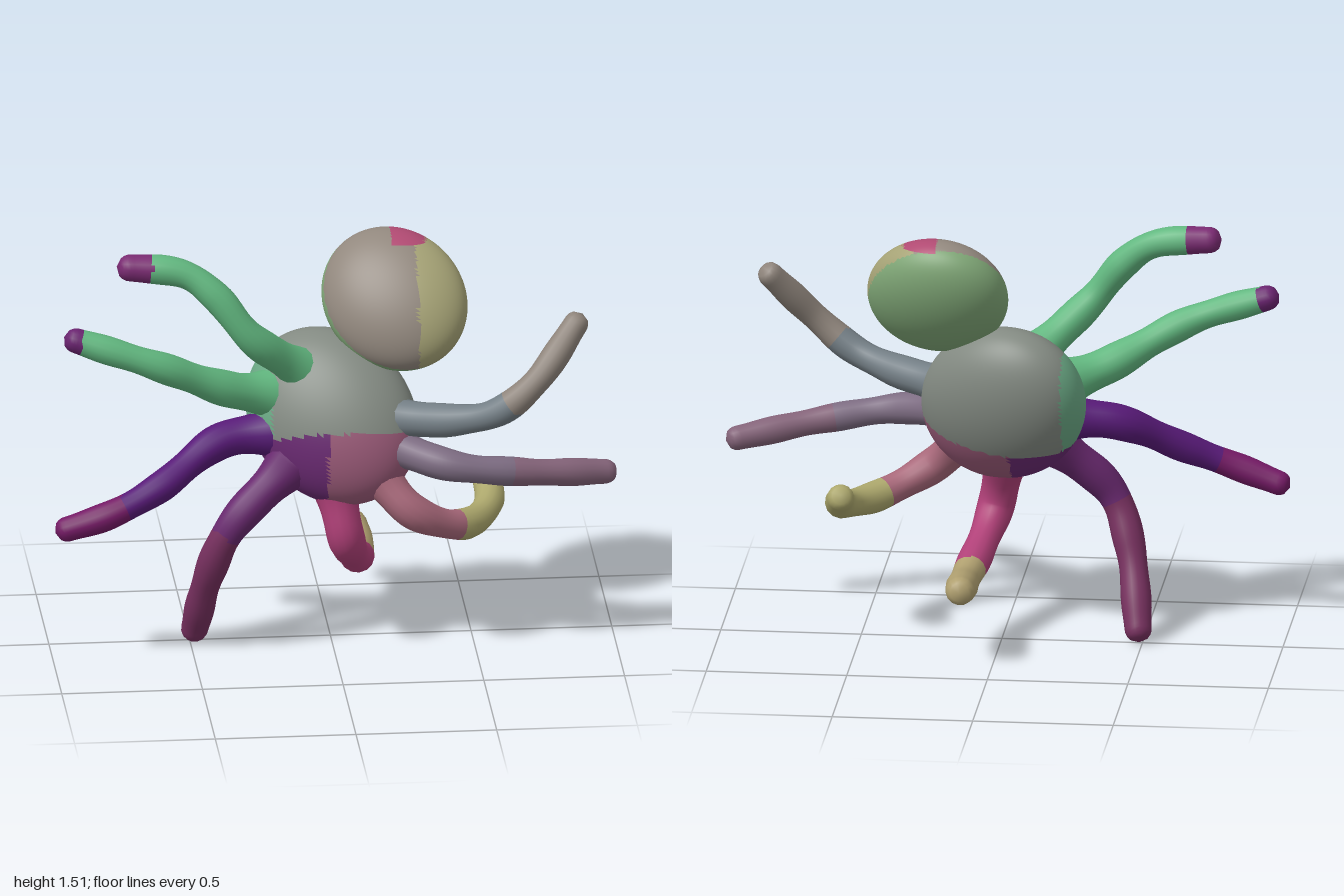
import * as THREE from 'three';
import { mergeVertices } from 'three/addons/utils/BufferGeometryUtils.js';

// Weld a geometry and recompute smooth normals.
function weld(geometry) {
  geometry.deleteAttribute('uv');
  geometry.deleteAttribute('normal');
  const welded = mergeVertices(geometry, 1e-5);
  welded.computeVertexNormals();
  return welded;
}

// Split a geometry into one mesh per colour; pick(centre, fraction) chooses each triangle's colour.
function paint(name, geometry, pick) {
  const group = new THREE.Group();
  group.name = name;
  const index = geometry.index.array;
  const pos = geometry.attributes.position;
  const buckets = new Map();
  const corner = new THREE.Vector3();
  for (let i = 0; i < index.length; i += 3) {
    const centre = new THREE.Vector3();
    for (let k = 0; k < 3; k++) centre.add(corner.fromBufferAttribute(pos, index[i + k]));
    const color = pick(centre.divideScalar(3), i / index.length);
    if (!buckets.has(color)) buckets.set(color, []);
    buckets.get(color).push(index[i], index[i + 1], index[i + 2]);
  }
  for (const [color, faces] of buckets) {
    const part = geometry.clone().setIndex(faces);
    const mesh = new THREE.Mesh(part, new THREE.MeshStandardMaterial({ color }));
    mesh.name = name + 'Patch';
    group.add(mesh);
  }
  return group;
}

// Tilted ellipsoid: squared half extents (xx, yy, zz) and skews (xy, xz, yz).
function ellipsoid(centre, [xx, yy, zz], [xy, xz, yz]) {
  const a = Math.sqrt(xx), b = xy / a, c = xz / a;
  const d = Math.sqrt(yy - b * b), e = (yz - b * c) / d;
  const f = Math.sqrt(zz - c * c - e * e);
  const skew = new THREE.Matrix4().set(
    a, 0, 0, centre[0],
    b, d, 0, centre[1],
    c, e, f, centre[2],
    0, 0, 0, 1);
  return weld(new THREE.SphereGeometry(1, 80, 56).applyMatrix4(skew));
}

// Tapered arm with a flared root, a slightly uneven skin and a rounded tip;
// its colour changes at the given fraction of its length.
function arm(name, [rootRadius, tipRadius], [rootColor, change, tipColor], ...points) {
  const curve = new THREE.CatmullRomCurve3(points.map((q) => new THREE.Vector3(...q)));
  const rows = 72, sides = 14, length = curve.getLength();
  const geometry = new THREE.TubeGeometry(curve, rows, 1, sides);
  const pos = geometry.attributes.position;
  const p = new THREE.Vector3();
  for (let i = 0; i <= rows; i++) {
    const u = i / rows;
    let r = THREE.MathUtils.lerp(rootRadius, tipRadius, u) * (1 + 0.5 * (1 - u) ** 6);
    r *= 1 + 0.05 * Math.sin(u * 23 + length * 9);
    const left = (1 - u) * length;
    if (left < r) r *= Math.sqrt(1 - (1 - left / r) ** 2);
    const centre = curve.getPointAt(u);
    for (let j = 0; j <= sides; j++) {
      const k = i * (sides + 1) + j;
      p.fromBufferAttribute(pos, k).sub(centre).multiplyScalar(r).add(centre);
      pos.setXYZ(k, p.x, p.y, p.z);
    }
  }
  return paint(name, weld(geometry), (c, u) => (u < change ? rootColor : tipColor));
}

export function createModel() {
  const model = new THREE.Group();
  model.name = 'octopus';

  // Body: grey above, purple and pink below, green beside the right arms
  const body = ellipsoid([0, 0.85, 0.065], [0.09, 0.089, 0.053], [-0.008, 0.023, -0.025]);
  model.add(paint('body', body, (c) => {
    if (c.y < 0.72 + 0.5 * c.z) return c.x < -0.03 ? 0x6a2a72 : 0x9a5a78;
    return c.x < -0.22 ? 0x6aa884 : 0x838a82;
  }));

  // Head: warm grey face, green back and a magenta crown
  const head = ellipsoid([0.228, 1.26, 0], [0.065, 0.053, 0.04], [-0.002, 0.012, -0.022]);
  model.add(paint('head', head, (c) => {
    if (c.y > 1.46 && c.x > 0.22) return 0xb04a72;
    const facing = 0.6 * (c.y - 1.26) + 0.8 * c.z;
    if (facing < 0) return 0x7fa676;
    return c.x < 0.3 ? 0x92887e : 0xa6a376;
  }));

  // Right arms, top to bottom
  model.add(arm('rightTopArm', [0.054, 0.05], [0x62b880, 0.86, 0x7a2a72],
    [-0.1, 1.02, 0.06], [-0.3, 1.2, 0.18], [-0.42, 1.35, 0.165], [-0.53, 1.43, 0.14], [-0.77, 1.46, 0.12]));
  model.add(arm('rightUpperArm', [0.062, 0.046], [0x62b880, 0.92, 0x6a2370],
    [-0.2, 0.93, 0.04], [-0.36, 0.98, 0.12], [-0.65, 1.125, 0.225], [-0.965, 1.235, 0.21]));
  model.add(arm('rightLowerArm', [0.06, 0.046], [0x581a78, 0.7, 0x751a66],
    [-0.2, 0.8, 0.07], [-0.4, 0.78, 0.1], [-0.63, 0.655, 0.22], [-0.8, 0.58, 0.265], [-1, 0.51, 0.25]));
  model.add(arm('rightBottomArm', [0.06, 0.05], [0x69296f, 0.4, 0x77305f],
    [-0.15, 0.7, 0.13], [-0.37, 0.49, 0.2], [-0.44, 0.31, 0.15], [-0.49, 0, -0.01]));

  // Left arms, bottom to top
  model.add(arm('leftBottomArm', [0.06, 0.054], [0xb04078, 0.6, 0xb0a070],
    [0, 0.64, 0.14], [0.04, 0.43, 0.18], [0.08, 0.32, 0.05], [0.115, 0.255, -0.13], [0.11, 0.285, -0.41]));
  model.add(arm('leftLowerArm', [0.058, 0.05], [0xa8687a, 0.5, 0xaca76c],
    [0.13, 0.7, 0.18], [0.27, 0.55, 0.255], [0.46, 0.46, 0.16], [0.565, 0.48, -0.01], [0.555, 0.56, -0.17]));
  model.add(arm('leftUpperArm', [0.054, 0.046], [0x7d6c82, 0.55, 0x85647a],
    [0.18, 0.78, 0.17], [0.4, 0.74, 0.31], [0.65, 0.7, 0.29], [1, 0.645, 0.17]));
  model.add(arm('leftTopArm', [0.056, 0.046], [0x747f86, 0.55, 0x8f857c],
    [0.18, 0.87, 0.15], [0.43, 0.9, 0.28], [0.57, 0.95, 0.34], [0.7, 1.06, 0.345], [0.875, 1.27, 0.235]));
  return model;
}
